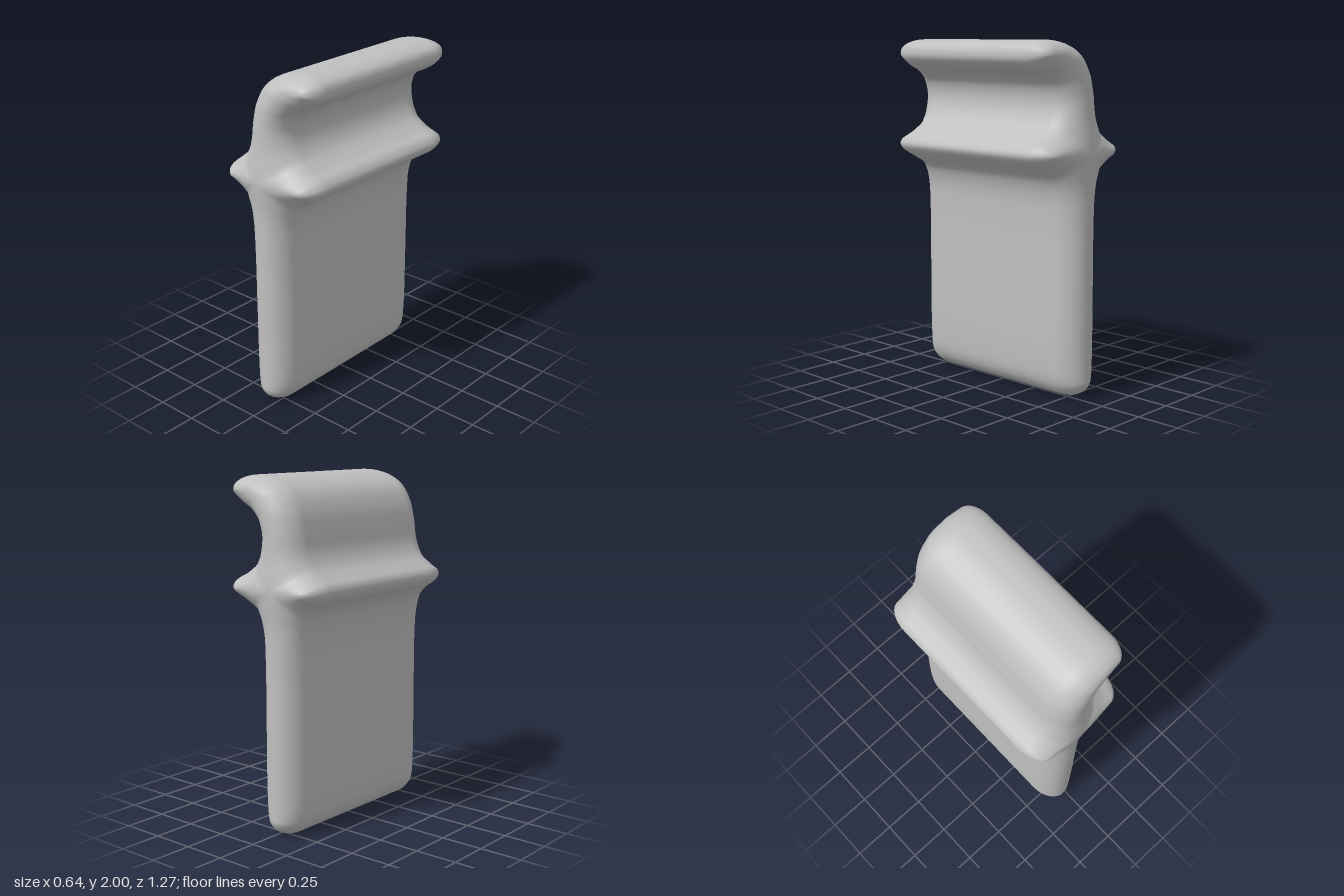
import * as THREE from 'three';
import { mergeVertices } from 'three/addons/utils/BufferGeometryUtils.js';

// Centre line of the cross-section: stem, two side ridges and the top hook
const S = {
  b0: [-0.035, 0.1], b1: [-0.035, 0.2], b2: [-0.035, 0.6], b3: [-0.035, 1.0], b4: [-0.035, 1.16],
  j: [-0.03, 1.39], r1: [0.1, 1.39], r2: [0.22, 1.39], l1: [-0.14, 1.39], l2: [-0.23, 1.39],
  u1: [-0.025, 1.6], u2: [-0.02, 1.7], u3: [0.01, 1.8], h1: [0.07, 1.88], h2: [0.15, 1.92], h3: [0.235, 1.925],
};

// Outline, counter-clockwise, each point tied to a point of the centre line
const OUTLINE = [
  // right face of the blade
  [-0.035, 0, 'b0'], [0.03, 0.02, 'b0'], [0.075, 0.08, 'b0'], [0.092, 0.2, 'b1'], [0.095, 0.6, 'b2'],
  [0.095, 1.0, 'b3'], [0.108, 1.16, 'b4'],
  // right ridge
  [0.15, 1.255, 'j'], [0.235, 1.31, 'r1'], [0.295, 1.348, 'r2'], [0.32, 1.39, 'r2'],
  [0.295, 1.435, 'r2'], [0.235, 1.47, 'r1'], [0.16, 1.53, 'j'],
  // hook
  [0.12, 1.6, 'u1'], [0.108, 1.68, 'u2'], [0.13, 1.755, 'u3'], [0.19, 1.81, 'h1'], [0.27, 1.85, 'h2'],
  [0.317, 1.9, 'h3'], [0.308, 1.96, 'h3'], [0.25, 1.993, 'h3'], [0.15, 2.0, 'h2'], [0.03, 1.975, 'h1'],
  [-0.07, 1.91, 'h1'], [-0.125, 1.81, 'u3'], [-0.15, 1.7, 'u2'], [-0.17, 1.59, 'u1'],
  // left ridge
  [-0.21, 1.515, 'j'], [-0.27, 1.46, 'l1'], [-0.308, 1.427, 'l2'], [-0.32, 1.39, 'l2'],
  [-0.295, 1.345, 'l2'], [-0.25, 1.31, 'l1'], [-0.205, 1.255, 'j'],
  // left face of the blade
  [-0.175, 1.16, 'b4'], [-0.162, 1.0, 'b3'], [-0.162, 0.6, 'b2'], [-0.16, 0.2, 'b1'],
  [-0.145, 0.08, 'b0'], [-0.1, 0.02, 'b0'],
];

const SUB = 4;       // steps between outline points
const STRAIGHT = 0.46; // half length before the ends round off
const END_STEPS = 8;

// Reach of the rounded end: fullest at the ridges' crossing, shorter at the tips
function endReach([x, y]) {
  const crown = 0.023 * Math.exp(-(((y - 1.39) / 0.13) ** 2));
  return 0.612 + crown - 0.1 * Math.max(0, Math.abs(x + 0.03) - 0.05);
}

function bodyGeometry() {
  const n = OUTLINE.length, count = n * SUB;
  const curve = new THREE.CatmullRomCurve3(
    OUTLINE.map(([x, y]) => new THREE.Vector3(x, y, 0)), true, 'centripetal');
  const outer = [], inner = [];
  for (let i = 0; i < count; i++) {
    const k = Math.floor(i / SUB), f = (i % SUB) / SUB;
    const a = S[OUTLINE[k][2]], b = S[OUTLINE[(k + 1) % n][2]];
    outer.push(curve.getPoint(i / count));
    inner.push([a[0] + (b[0] - a[0]) * f, a[1] + (b[1] - a[1]) * f]);
  }

  // Rings from the back end to the front end, closing onto the centre line
  const rings = [];
  for (let s = END_STEPS; s >= 0; s--) rings.push([-1, (s / END_STEPS) * Math.PI / 2]);
  for (let s = 0; s <= END_STEPS; s++) rings.push([1, (s / END_STEPS) * Math.PI / 2]);

  const pos = [], index = [];
  rings.forEach(([side, angle], r) => {
    const inset = 1 - Math.cos(angle);
    for (let i = 0; i < count; i++) {
      const p = outer[i], c = inner[i];
      pos.push(
        p.x + (c[0] - p.x) * inset,
        Math.max(0, p.y + (c[1] - p.y) * inset),
        side * (STRAIGHT + (endReach(c) - STRAIGHT) * Math.sin(angle)));
      if (r === rings.length - 1) continue;
      const j = (i + 1) % count, a = r * count, b = a + count;
      index.push(a + i, a + j, b + j, a + i, b + j, b + i);
    }
  });
  let g = new THREE.BufferGeometry();
  g.setAttribute('position', new THREE.Float32BufferAttribute(pos, 3));
  g.setIndex(index);
  g = mergeVertices(g, 1e-5);
  g.computeVertexNormals();
  return g;
}

export function createModel() {
  const group = new THREE.Group();
  group.name = 'hookedPanel';
  const grey = new THREE.MeshStandardMaterial({ color: 0xc0c0c0 });
  grey.name = 'grey';
  const body = new THREE.Mesh(bodyGeometry(), grey);
  body.name = 'panelWithRidgesAndHook';
  group.add(body);
  return group;
}
